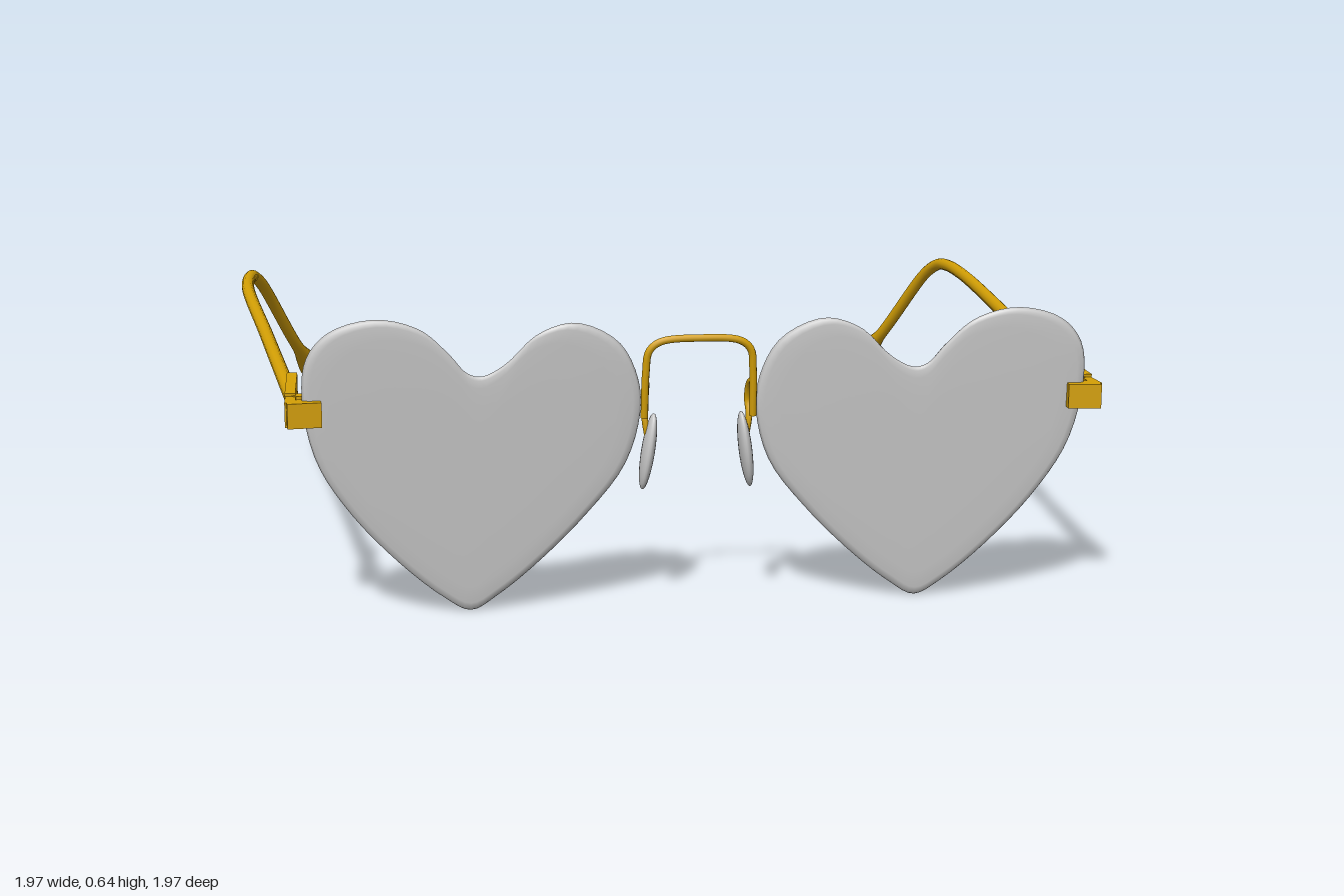
import * as THREE from 'three';

const grey = new THREE.MeshStandardMaterial({ color: 0xcccccc });
const gold = new THREE.MeshStandardMaterial({ color: 0xd4a005 });
const V = (x, y, z) => new THREE.Vector3(x, y, z);

// Heart outline of one lens: distance from the bridge centre, height
const HEART = [
  [0.458, 0.521], [0.41, 0.545], [0.341, 0.608], [0.262, 0.63], [0.172, 0.587], [0.13, 0.508],
  [0.124, 0.429], [0.156, 0.317], [0.241, 0.206], [0.341, 0.106], [0.426, 0.037], [0.484, 0.005],
  [0.542, 0.037], [0.643, 0.127], [0.738, 0.238], [0.802, 0.349], [0.828, 0.481], [0.817, 0.571],
  [0.77, 0.624], [0.675, 0.648], [0.585, 0.624], [0.526, 0.571], [0.489, 0.529],
];

// Lenses lean back at the bottom and wrap slightly at the inner edge
const lensZ = (u, y) => 0.889 + 0.105 * y + 0.05 * (u - 0.48);

function mesh(name, geometry, material) {
  const m = new THREE.Mesh(geometry, material);
  m.name = name;
  return m;
}

function box(name, w, h, d, x, y, z) {
  const m = mesh(name, new THREE.BoxGeometry(w, h, d), gold);
  m.position.set(x, y, z);
  return m;
}

// Tube whose radius follows radius(t) along the curve
function taperedTube(points, segments, sides, radius) {
  const curve = new THREE.CatmullRomCurve3(points, false, 'centripetal');
  const geo = new THREE.TubeGeometry(curve, segments, 1, sides);
  const pos = geo.attributes.position;
  const p = V(0, 0, 0);
  for (let i = 0; i <= segments; i++) {
    const c = curve.getPointAt(i / segments);
    for (let j = 0; j <= sides; j++) {
      const k = i * (sides + 1) + j;
      p.fromBufferAttribute(pos, k).sub(c).multiplyScalar(radius(i / segments)).add(c);
      pos.setXYZ(k, p.x, p.y, p.z);
    }
  }
  return geo;
}

// Pillow-edged heart: concentric outlines from front centre over the rim to back centre
function lensGeometry(s) {
  const outline = new THREE.CatmullRomCurve3(HEART.map(([x, y]) => V(x, y, 0)), true).getPoints(96);
  const n = 96, cx = 0.475, cy = 0.36;
  const half = [[0.001, 0.011], [0.3, 0.011], [0.6, 0.011], [0.85, 0.01], [0.95, 0.009], [0.985, 0.006]];
  const rings = [...half, [1, 0], ...half.map(([k, z]) => [k, -z]).reverse()];
  const pos = [], idx = [];
  for (const [k, dz] of rings) {
    for (let i = 0; i < n; i++) {
      const u = cx + (outline[i].x - cx) * k, y = cy + (outline[i].y - cy) * k;
      pos.push(s * u, y, lensZ(u, y) + dz);
    }
  }
  for (let r = 0; r < rings.length - 1; r++) {
    for (let i = 0; i < n; i++) {
      const a = r * n + i, b = r * n + (i + 1) % n, c = a + n, d = b + n;
      // the outline runs anticlockwise for s > 0
      if (s > 0) idx.push(a, c, b, b, c, d);
      else idx.push(a, b, c, b, d, c);
    }
  }
  const geo = new THREE.BufferGeometry();
  geo.setAttribute('position', new THREE.Float32BufferAttribute(pos, 3));
  geo.setIndex(idx);
  geo.computeVertexNormals();
  return geo;
}

// Slim temple arm with a hooked, paddle-shaped tip; spread opens it outwards
function armGeometry(s, spread) {
  const path = [
    [0.852, 0.462, 0.82, 0], [0.90, 0.495, 0.2, 0.5], [0.944, 0.526, -0.4, 1], [0.945, 0.53, -0.56, 1],
    [0.938, 0.523, -0.63, 1], [0.918, 0.49, -0.69, 1], [0.83, 0.285, -0.855, 1], [0.76, 0.16, -0.975, 1],
  ].map(([u, y, z, k]) => V(s * (u + spread * k), y, z));
  return taperedTube(path, 110, 14, (t) => {
    const q = (t - 0.9) / 0.1;
    if (q < 0) return 0.016;
    if (q < 0.6) return 0.016 + 0.02 * Math.sin((q / 0.6) * Math.PI / 2) ** 2;
    return 0.036 * Math.sqrt(Math.max(0, 1 - ((q - 0.6) / 0.4) ** 2));
  });
}

export function createModel() {
  const model = new THREE.Group();
  model.name = 'heartGlasses';
  const frame = new THREE.Group();
  frame.name = 'frame';
  frame.position.x = 0.021;
  model.add(frame);

  // Bridge wire arching between the lenses
  const bridge = [
    [-0.116, 0.42, 0.922], [-0.114, 0.52, 0.932], [-0.108, 0.565, 0.937], [-0.085, 0.585, 0.94], [0, 0.592, 0.942],
    [0.085, 0.585, 0.94], [0.108, 0.565, 0.937], [0.114, 0.52, 0.932], [0.116, 0.42, 0.922],
  ].map((p) => V(...p));
  frame.add(mesh('bridge', taperedTube(bridge, 60, 10, () => 0.008), gold));

  for (const s of [1, -1]) {
    const side = new THREE.Group();
    side.name = s > 0 ? 'leftSide' : 'rightSide';
    frame.add(side);

    side.add(mesh('lens', lensGeometry(s), grey));

    // Nose pad on its curled wire
    const wire = [[0.114, 0.5, 0.93], [0.11, 0.485, 0.905], [0.11, 0.45, 0.89], [0.112, 0.415, 0.9], [0.106, 0.375, 0.902]]
      .map(([u, y, z]) => V(s * u, y, z));
    side.add(mesh('nosePadWire', taperedTube(wire, 24, 8, () => 0.007), gold));
    const pad = mesh('nosePad', new THREE.SphereGeometry(1, 20, 14), grey);
    pad.scale.set(0.014, 0.085, 0.032);
    pad.position.set(s * 0.105, 0.343, 0.9);
    pad.rotation.set(0.1, 0, s * 0.14);
    side.add(pad);

    // Hinge: front block, side plate and knuckle
    const block = box('hingeBlock', 0.07, 0.052, 0.045, s * 0.825, 0.456, 0.966);
    block.rotation.y = -s * 0.12;
    const corner = box('hingeCorner', 0.022, 0.052, 0.09, s * 0.852, 0.456, 0.93);
    const plate = box('hingePlate', 0.022, 0.056, 0.19, s * 0.853, 0.465, 0.81);
    plate.rotation.x = 0.05;
    const knuckle = mesh('hingeKnuckle', new THREE.CylinderGeometry(0.016, 0.016, 0.05, 14), gold);
    knuckle.position.set(s * 0.836, 0.458, 0.9);
    side.add(block, corner, plate, knuckle);

    side.add(mesh('templeArm', armGeometry(s, s > 0 ? 0 : 0.05), gold));
  }
  return model;
}
